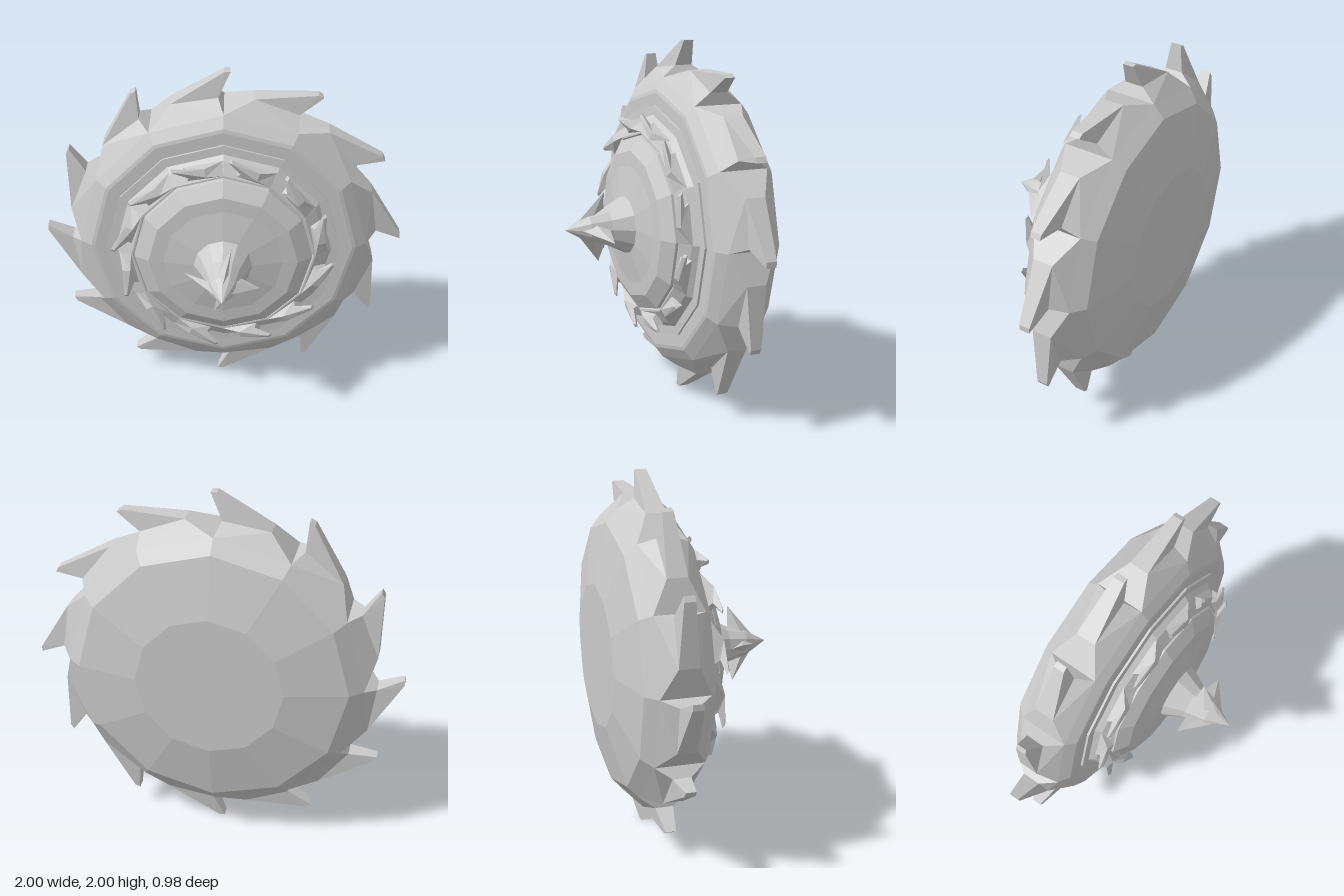
import * as THREE from 'three';
import { ConvexGeometry } from 'three/addons/geometries/ConvexGeometry.js';

const SIDES = 12;
const STEP = (Math.PI * 2) / SIDES;
const material = new THREE.MeshStandardMaterial({ color: 0xcccccc, flatShading: true });

// Point from radius, angle in degrees and depth; the wheel's axis is z
function polar(r, degrees, z) {
  const a = THREE.MathUtils.degToRad(degrees);
  return new THREE.Vector3(r * Math.cos(a), r * Math.sin(a), z);
}

// Faceted solid of revolution about z from [radius, z] pairs, back to front
function turned(name, profile) {
  const lathe = new THREE.LatheGeometry(profile.map(([r, z]) => new THREE.Vector2(r, z)), SIDES);
  const geometry = lathe.rotateX(Math.PI / 2).toNonIndexed();
  geometry.computeVertexNormals();
  const mesh = new THREE.Mesh(geometry, material);
  mesh.name = name;
  return mesh;
}

// Hooked barb: two matching six-point outlines
// (root, shoulder, tip, tip end, undercut, heel) joined along the rim
function barb(near, far) {
  const out = [];
  const tri = (a, b, c) => [a, b, c].forEach((p) => out.push(p.x, p.y, p.z));
  for (let i = 0; i < 5; i++) {
    tri(near[i], near[i + 1], far[i + 1]);
    tri(near[i], far[i + 1], far[i]);
  }
  for (const [a, b, c] of [[0, 5, 1], [1, 5, 4], [1, 4, 2], [2, 4, 3]]) {
    tri(near[a], near[b], near[c]);
    tri(far[c], far[b], far[a]);
  }
  const geometry = new THREE.BufferGeometry();
  geometry.setAttribute('position', new THREE.Float32BufferAttribute(out, 3));
  geometry.computeVertexNormals();
  return geometry;
}

// Copies of one geometry turned evenly about the axis
function ringOf(name, geometry, count) {
  const group = new THREE.Group();
  group.name = name + 's';
  for (let i = 0; i < count; i++) {
    const mesh = new THREE.Mesh(geometry, material);
    mesh.name = name;
    mesh.rotation.z = (i * Math.PI * 2) / count;
    group.add(mesh);
  }
  return group;
}

export function createModel() {
  const wheel = new THREE.Group();
  wheel.name = 'spikedWheel';

  // Thick body with a shallow domed back
  wheel.add(turned('body', [
    [0, -0.49], [0.4, -0.49], [0.73, -0.42], [0.8, -0.36], [0.8, -0.09], [0.74, -0.05],
    [0.72, -0.045], [0.65, -0.045], [0.65, -0.033], [0.6, -0.03], [0, -0.03],
  ]));

  // Raised front ring and shallow hub dome
  wheel.add(turned('frontRing', [
    [0.6, -0.03], [0.575, 0.005], [0.51, 0.045], [0.5, 0.045], [0.495, 0.025], [0.48, 0.025],
  ]));
  wheel.add(turned('hubDome', [
    [0.49, 0.02], [0.49, 0.055], [0.41, 0.105], [0.33, 0.11], [0.16, 0.14],
  ]));

  // Pointed central cone
  wheel.add(turned('cone', [[0.16, 0.14], [0.105, 0.25], [0.075, 0.36], [0, 0.49]]));

  // Saw teeth sweeping clockwise around the rim: [radius, degrees, half width]
  const tooth = [
    [0.8, 0, 0.135], [0.87, -11, 0.055], [1.0, -30.2, 0.03],
    [1.0, -32, 0.028], [0.86, -28, 0.05], [0.8, -30, 0.135],
  ];
  const toothSide = (s) => tooth.map(([r, a, w]) => polar(r, a, -0.225 + s * w));
  wheel.add(ringOf('rimTooth', barb(toothSide(1), toothSide(-1)), SIDES));

  // Small barbs sweeping the other way on the front ring:
  // [outer radius, outer z, inner radius, inner z, degrees]
  const small = [
    [0.58, 0.0, 0.51, 0.045, 0], [0.57, 0.06, 0.525, 0.07, 10], [0.62, 0.06, 0.6, 0.07, 25.5],
    [0.62, 0.05, 0.6, 0.06, 27], [0.575, 0.03, 0.53, 0.05, 20], [0.575, 0.0, 0.51, 0.035, 22],
  ];
  const outer = small.map(([r, z, , , a]) => polar(r, a, z));
  const inner = small.map(([, , r, z, a]) => polar(r, a, z));
  wheel.add(ringOf('ringBarb', barb(outer, inner), SIDES));

  // Four fins swept back from the cone
  const fin = new ConvexGeometry([
    polar(0.03, 100, 0.42), polar(0.07, 122, 0.34), polar(0.07, 65, 0.34),
    polar(0.08, 100, 0.26), polar(0.21, 77, 0.28),
  ]);
  wheel.add(ringOf('coneFin', fin, 4));

  wheel.position.y = 1;
  const model = new THREE.Group();
  model.name = 'model';
  model.add(wheel);
  return model;
}
